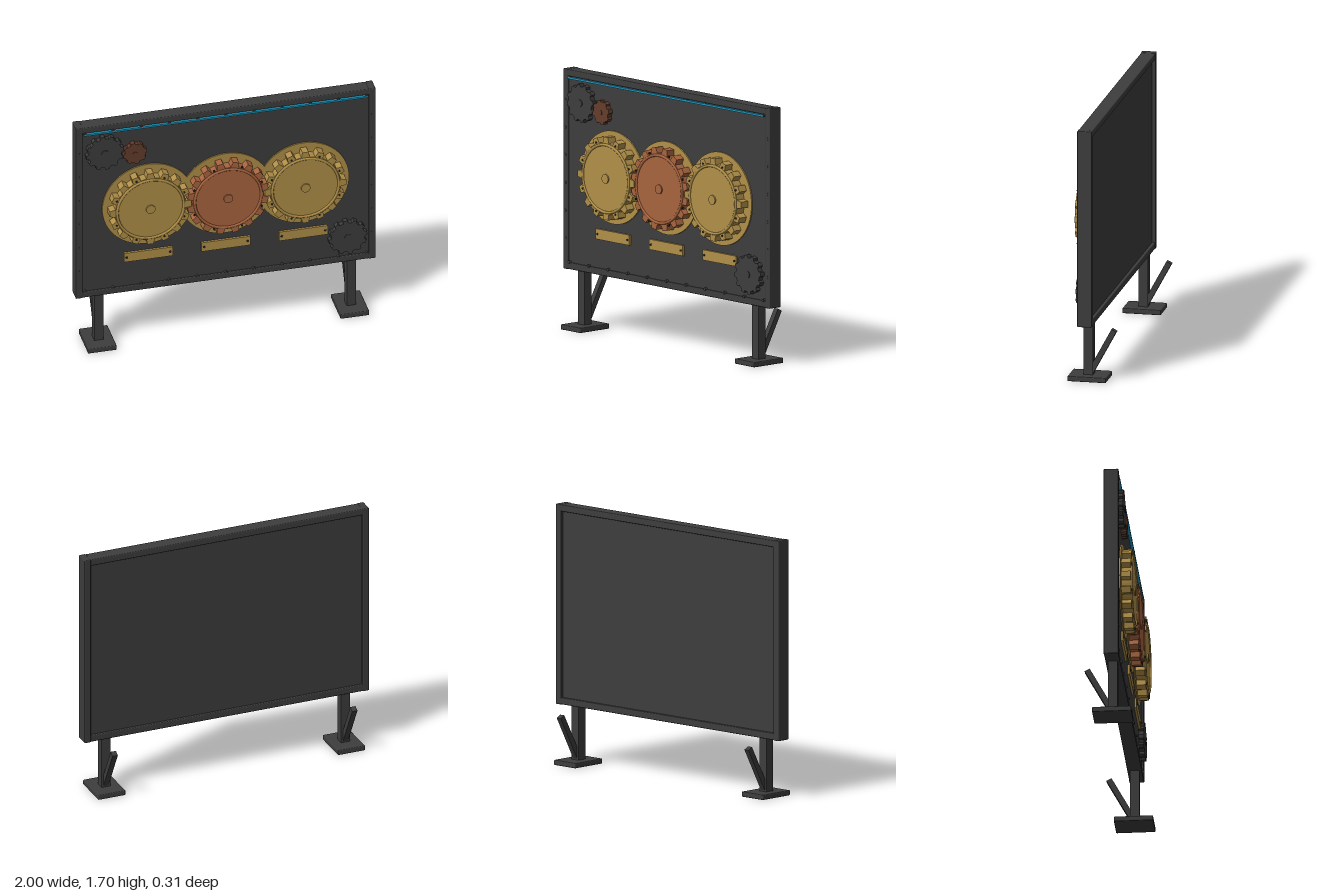
import * as THREE from 'three';
import { RoundedBoxGeometry } from 'three/addons/geometries/RoundedBoxGeometry.js';

const paint = (name, color) => {
  const m = new THREE.MeshStandardMaterial({ color });
  m.name = name;
  return m;
};

export function createModel() {
  const iron = paint('dark iron', 0x3d3d3e);
  const black = paint('black steel', 0x28282a);
  const brass = paint('brass', 0xb08f48);
  const copper = paint('copper', 0xa8643f);
  const rust = paint('dark copper', 0x643c2c);
  const teal = paint('teal light', 0x1c9cc4);

  const model = new THREE.Group();
  model.name = 'gearBoard';

  const add = (parent, name, geometry, material, x, y, z) => {
    const mesh = new THREE.Mesh(geometry, material);
    mesh.name = name;
    mesh.position.set(x, y, z);
    parent.add(mesh);
    return mesh;
  };
  const group = (name, x, y, z) => {
    const g = new THREE.Group();
    g.name = name;
    g.position.set(x, y, z);
    model.add(g);
    return g;
  };
  const bar = (w, h, d, r = 0.006) => new RoundedBoxGeometry(w, h, d, 2, r);
  // Disc whose axis points along z
  const disc = (r, depth, sides = 32) => new THREE.CylinderGeometry(r, r, depth, sides).rotateX(Math.PI / 2);

  // Gear outline with tapered teeth, extruded forward from z = 0
  const gearGeometry = (root, tip, teeth, depth, phase) => {
    const points = [];
    const step = (Math.PI * 2) / teeth;
    for (let i = 0; i < teeth; i++) {
      const corners = [[-0.5, root], [-0.3, root], [-0.19, tip], [0.19, tip], [0.3, root]];
      for (const [f, r] of corners) {
        const a = (i + f + phase) * step;
        points.push(new THREE.Vector2(Math.cos(a) * r, Math.sin(a) * r));
      }
    }
    return new THREE.ExtrudeGeometry(new THREE.Shape(points), { depth, bevelEnabled: false });
  };

  // Board panel and surrounding frame
  const midY = 1.042;
  add(model, 'panel', new THREE.BoxGeometry(1.94, 1.26, 0.065), iron, 0, midY, 0.0335);
  for (const s of [-1, 1]) {
    add(model, 'frameSide', bar(0.046, 1.316, 0.097), iron, s * 0.977, midY, 0.0285);
    add(model, 'frameRail', bar(1.94, 0.044, 0.094), iron, 0, midY + s * 0.634, 0.0285);
  }

  // Frame rivets
  const rivet = disc(0.01, 0.02, 10);
  for (let i = 0; i < 11; i++) {
    for (const y of [0.433, 1.651]) add(model, 'frameRivet', rivet, iron, -0.94 + i * 0.188, y, 0.073);
  }
  for (let i = 0; i < 6; i++) {
    for (const s of [-1, 1]) add(model, 'frameRivet', rivet, iron, s * 0.977, 0.588 + i * 0.182, 0.07);
  }

  // Glowing strip below the top rail
  add(model, 'lightStrip', new THREE.BoxGeometry(1.89, 0.012, 0.018), teal, 0, 1.645, 0.075);

  // Three meshing main gears on brass backplates, with name plates
  [-0.517, 0, 0.517].forEach((x, i) => {
    const metal = i === 1 ? copper : brass;
    const g = group('mainGear', x, 1.045, 0);
    add(g, 'backplate', disc(0.306, 0.01, 64), brass, 0, 0, 0.07);
    add(g, 'toothedWheel', gearGeometry(0.236, 0.273, 16, 0.062, i === 1 ? 0.5 : 0), metal, 0, 0, 0.076);
    add(g, 'rim', new THREE.TorusGeometry(0.222, 0.009, 8, 64), metal, 0, 0, 0.138);
    add(g, 'hub', disc(0.031, 0.014, 24), metal, 0, 0, 0.14);
    for (let k = 0; k < 8; k++) {
      const a = ((k + 0.5) * Math.PI) / 4;
      add(g, 'gearBolt', disc(0.007, 0.01, 8), black, Math.cos(a) * 0.243, Math.sin(a) * 0.243, 0.138);
    }

    const plate = group('namePlate', x, 0.655, 0.073);
    add(plate, 'plate', new THREE.BoxGeometry(0.325, 0.068, 0.016), brass, 0, 0, 0);
    for (const s of [-1, 1]) add(plate, 'plateScrew', disc(0.008, 0.006, 10), black, s * 0.145, 0, 0.009);
  });

  // Small decorative gears in two corners
  const smallGears = [
    [-0.81, 1.497, 0.127, 12, iron],
    [-0.61, 1.463, 0.08, 8, rust],
    [0.81, 0.588, 0.129, 12, iron],
  ];
  for (const [x, y, r, teeth, metal] of smallGears) {
    const g = group('smallGear', x, y, 0.066);
    add(g, 'toothedWheel', gearGeometry(r * 0.87, r, teeth, 0.034, 0.25), metal, 0, 0, 0);
    add(g, 'hub', disc(r * 0.19, 0.006, 16), metal, 0, 0, 0.036);
  }

  // Legs with flat feet and slanted rear struts
  for (const s of [-1, 1]) {
    const g = group('leg', s * 0.842, 0, 0);
    add(g, 'post', new THREE.BoxGeometry(0.062, 0.38, 0.062), iron, 0, 0.215, 0.03);
    add(g, 'foot', bar(0.192, 0.034, 0.255), iron, 0, 0.017, 0.027);
    const strut = add(g, 'strut', new THREE.BoxGeometry(0.037, 0.345, 0.037), iron, 0, 0.183, -0.056);
    strut.rotation.x = -0.495;
  }

  return model;
}
